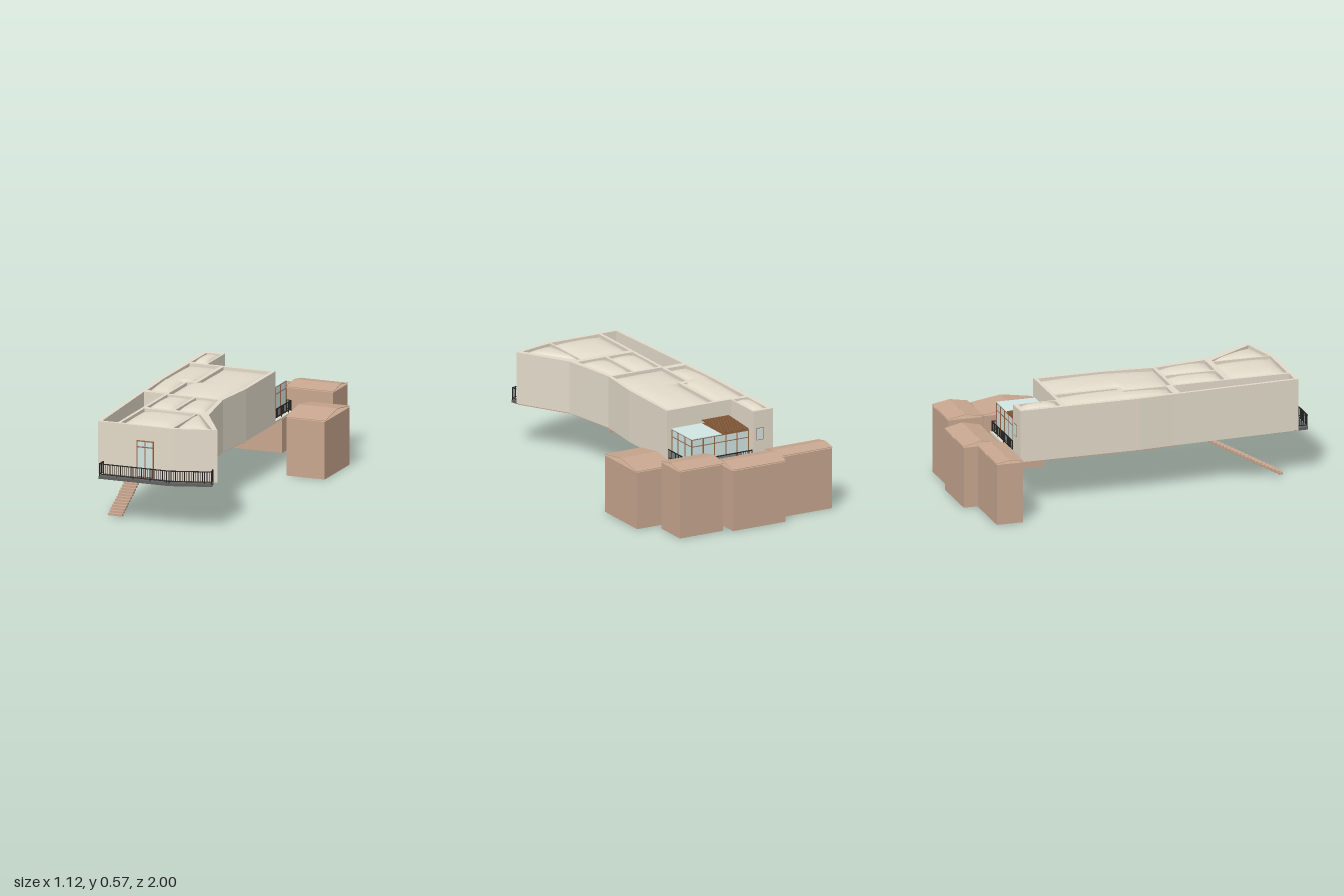
import * as THREE from 'three';
import { mergeGeometries } from 'three/addons/utils/BufferGeometryUtils.js';

const mat = (name, color, side = THREE.FrontSide) => {
  const m = new THREE.MeshStandardMaterial({ color, side });
  m.name = name;
  return m;
};

// Box from its min and max corners
const box = (x0, x1, y0, y1, z0, z1) =>
  new THREE.BoxGeometry(x1 - x0, y1 - y0, z1 - z0)
    .translate((x0 + x1) / 2, (y0 + y1) / 2, (z0 + z1) / 2);

// Flat plate from a clockwise plan outline of [x, z] points, from y0 up to y1
function plate(pts, y0, y1, holes = []) {
  const v = (list) => list.map(([x, z]) => new THREE.Vector2(x, -z)).reverse();
  const shape = new THREE.Shape(v(pts));
  for (const h of holes) shape.holes.push(new THREE.Path(v(h)));
  return new THREE.ExtrudeGeometry(shape, { depth: y1 - y0, bevelEnabled: false })
    .rotateX(-Math.PI / 2).translate(0, y0, 0);
}

// Bulging roof cushion through rows of [left point, right point], back to front
function cushion(rows) {
  const g = new THREE.PlaneGeometry(1, 1, 20, 32);
  const p = g.attributes.position;
  const bulge = (t) => 1 - Math.abs(2 * t - 1) ** 3;
  const zBack = rows[0][0][1], zFront = rows[rows.length - 1][0][1];
  for (let i = 0; i < p.count; i++) {
    const u = p.getX(i) + 0.5, v = 0.5 - p.getY(i);
    const z = zBack + (zFront - zBack) * v;
    let k = 0;
    while (k < rows.length - 2 && rows[k + 1][0][1] < z) k++;
    const [a, b] = rows[k], [d, c] = rows[k + 1];
    const t = Math.min(1, (z - a[1]) / (d[1] - a[1]));
    const at = (n) => (a[n] * (1 - u) + b[n] * u) * (1 - t) + (d[n] * (1 - u) + c[n] * u) * t;
    p.setXYZ(i, at(0), 0.541 + 0.028 * Math.pow(Math.max(0, bulge(u) * bulge(v)), 0.7), at(1));
  }
  g.computeVertexNormals();
  return g;
}

// Beam between two points at the same height
function beam([x0, z0], [x1, z1], y, h, w) {
  const dx = x1 - x0, dz = z1 - z0;
  return new THREE.BoxGeometry(Math.hypot(dx, dz) + w, h, w)
    .rotateY(-Math.atan2(dz, dx)).translate((x0 + x1) / 2, y, (z0 + z1) / 2);
}

// Railing with balusters along a plan path
function railing(path, floor, top) {
  const parts = [];
  for (let i = 0; i + 1 < path.length; i++) {
    const a = path[i], b = path[i + 1];
    parts.push(beam(a, b, top - 0.0025, 0.005, 0.005), beam(a, b, floor + 0.012, 0.004, 0.004));
    const n = Math.max(1, Math.round(Math.hypot(b[0] - a[0], b[1] - a[1]) / 0.0125));
    for (let k = 0; k <= n; k++) {
      const x = a[0] + (b[0] - a[0]) * k / n, z = a[1] + (b[1] - a[1]) * k / n;
      const post = k % 8 === 0 || k === n, w = post ? 0.002 : 0.0013;
      parts.push(box(x - w, x + w, post ? floor : floor + 0.012, top, z - w, z + w));
    }
  }
  return mergeGeometries(parts);
}

export function createModel() {
  const concrete = mat('concrete', 0xe2dac9);
  const clay = mat('clay brown', 0xc7a68f);
  const glass = mat('pale glass', 0xd0e6e3);
  const frameMat = mat('frame brown', 0x9a6a4a);
  const wood = mat('dark wood', 0x835838);
  const iron = mat('black iron', 0x242424);
  const slate = mat('dark grey', 0x60605e);

  const model = new THREE.Group();
  const add = (name, geo, material) => {
    const m = new THREE.Mesh(geo, material);
    m.name = name;
    model.add(m);
  };

  // Raised hall: solid body with open stairwell, gridded deck above
  const outline = [[-0.31, -0.7], [-0.185, -0.7], [-0.185, -0.45], [0.222, -0.45], [0.222, -0.03],
    [0.197, 0.24], [0.252, 0.575], [0.424, 0.864], [0.19, 0.934], [-0.26, 0.934], [-0.295, 0.2], [-0.31, 0]];
  const well = [[-0.275, 0.24], [-0.15, 0.24], [-0.15, 0.915], [-0.242, 0.915]];
  const cushions = [
    [[[-0.285, -0.675], [-0.195, -0.675]], [[-0.285, -0.46], [-0.195, -0.46]]],
    [[[-0.285, -0.43], [-0.103, -0.43]], [[-0.285, -0.075], [-0.103, -0.075]],
      [[-0.285, -0.07], [-0.152, -0.07]], [[-0.272, 0.2], [-0.152, 0.2]]],
    [[[-0.08, -0.43], [0.2, -0.43]], [[-0.08, -0.045], [0.2, -0.045]],
      [[-0.135, -0.04], [0.2, -0.04]], [[-0.135, 0.23], [0.177, 0.23]]],
    [[[-0.132, 0.25], [0.024, 0.25]], [[-0.132, 0.545], [0.024, 0.545]]],
    [[[0.04, 0.25], [0.174, 0.25]], [[0.04, 0.545], [0.217, 0.545]]],
    [[[-0.132, 0.58], [0.174, 0.58]], [[-0.132, 0.912], [0.174, 0.912]]],
    [[[0.183, 0.58], [0.2, 0.58]], [[0.183, 0.908], [0.388, 0.858]]],
  ];
  const openings = cushions.map((rows) => [...rows.map((r) => r[1]).reverse(), ...rows.map((r) => r[0])].reverse());
  add('hallWalls', plate(outline, 0.262, 0.53, [well]), concrete);
  add('roofGrid', plate(outline, 0.53, 0.56, [well, ...openings]), concrete);
  for (const rows of cushions) add('roofCushion', cushion(rows), concrete);

  // Floor slabs under the hall, with narrow joints between them
  const floors = [
    [[-0.3, -0.69], [0.21, -0.69], [0.21, -0.03], [0.185, 0.235], [-0.285, 0.235], [-0.3, 0]],
    [[-0.145, 0.25], [0.187, 0.25], [0.24, 0.56], [-0.145, 0.56]],
    [[-0.145, 0.58], [0.245, 0.58], [0.41, 0.855], [0.187, 0.92], [-0.145, 0.92]],
  ];
  for (const f of floors) add('floorSlab', plate(f, 0.254, 0.262), clay);

  // Stairwell landing, ledge and flight of treads
  add('landing', plate([[-0.272, 0.242], [-0.152, 0.242], [-0.152, 0.385], [-0.238, 0.385],
    [-0.238, 0.345], [-0.268, 0.345]], 0.254, 0.264), clay);
  add('stairwellLedge', plate([[-0.27, 0.345], [-0.24, 0.345], [-0.24, 0.915]], 0.256, 0.266), concrete);
  const treads = [];
  for (let i = 0; i < 22; i++) {
    const y = 0.006 + i * 0.0113, z = 0.852 - i * 0.0202;
    treads.push(box(-0.236, -0.152, y, y + 0.0112, z - 0.023, z));
  }
  add('stairs', mergeGeometries(treads), clay);

  // Front balcony
  add('balconySlab', plate([[-0.23, 0.92], [0.19, 0.92], [0.4, 0.86], [0.418, 0.927],
    [0.19, 1.0], [-0.23, 1.0]], 0.25, 0.265), slate);
  add('balconyRailing', railing([[-0.226, 0.937], [-0.226, 0.996], [0.189, 0.996],
    [0.414, 0.924], [0.402, 0.875]], 0.264, 0.337), iron);

  // Front door
  add('doorGlass', box(-0.028, 0.074, 0.266, 0.475, 0.93, 0.937), glass);
  const bars = [];
  for (const y of [0.266, 0.436, 0.47]) bars.push(box(-0.028, 0.074, y, y + 0.006, 0.932, 0.94));
  for (const x of [-0.028, 0.02, 0.069]) bars.push(box(x, x + 0.005, 0.266, 0.476, 0.932, 0.94));
  add('doorFrame', mergeGeometries(bars), frameMat);

  // Small back window
  add('backWindowFrame', box(-0.248, -0.205, 0.39, 0.46, -0.7015, -0.699), frameMat);
  add('backWindowGlass', box(-0.245, -0.208, 0.393, 0.457, -0.7025, -0.7), glass);

  // Rear terrace with glazed room
  add('terraceFloor', box(-0.185, 0.222, 0.262, 0.275, -0.7, -0.45), concrete);
  add('roomSideGlass', box(0.186, 0.19, 0.275, 0.449, -0.668, -0.45), glass);
  add('roomBackGlass', box(-0.172, 0.19, 0.275, 0.449, -0.672, -0.668), glass);
  add('roomGlassRoof', box(0.001, 0.194, 0.449, 0.453, -0.674, -0.45), glass);
  const mullions = [];
  for (const z of [-0.672, -0.598, -0.524, -0.455]) mullions.push(box(0.186, 0.193, 0.275, 0.449, z, z + 0.005));
  for (let i = 0; i <= 5; i++) {
    const x = -0.172 + i * 0.0722;
    mullions.push(box(x, x + 0.005, 0.275, 0.449, -0.675, -0.668));
  }
  for (const y of [0.277, 0.405, 0.445]) {
    mullions.push(box(0.186, 0.193, y, y + 0.004, -0.674, -0.45));
    mullions.push(box(-0.172, 0.193, y, y + 0.004, -0.675, -0.668));
  }
  add('roomFrame', mergeGeometries(mullions), frameMat);

  // Slatted pergola over the other half, rising towards the hall
  const slats = [box(-0.17, 0.001, 0.446, 0.452, -0.674, -0.45)];
  for (let i = 0; i < 16; i++) {
    const z = -0.674 + i * 0.014, y = 0.455 + i * 0.0009;
    slats.push(box(-0.17, 0.001, y, y + 0.004, z, z + 0.012));
  }
  add('pergola', mergeGeometries(slats), wood);
  add('terraceRailing', railing([[0.213, -0.455], [0.213, -0.692], [-0.18, -0.692]], 0.275, 0.337), iron);

  // Surrounding huts with thin folded roofs: x0, x1, z0, z1, wall height, roof rise
  const huts = [
    [-0.562, -0.22, -0.92, -0.764, 0.348, 0.014],
    [-0.22, 0.119, -1.0, -0.793, 0.348, 0.024],
    [0.158, 0.438, -0.967, -0.76, 0.384, 0.018],
    [0.328, 0.56, -0.706, -0.348, 0.328, 0.028],
  ];
  for (const [x0, x1, z0, z1, h, rise] of huts) {
    add('hutWalls', box(x0 + 0.002, x1 - 0.002, 0, h, z0 + 0.002, z1 - 0.002), clay);
    const half = (z1 - z0) / 2, angle = Math.atan2(rise, half);
    for (const s of [1, -1]) {
      const roof = new THREE.BoxGeometry(x1 - x0, 0.003, Math.hypot(half, rise))
        .rotateX(s * angle)
        .translate((x0 + x1) / 2, h + 0.007 + rise / 2, (z0 + z1) / 2 + s * half / 2);
      add('hutRoof', roof, clay);
    }
  }
  return model;
}
